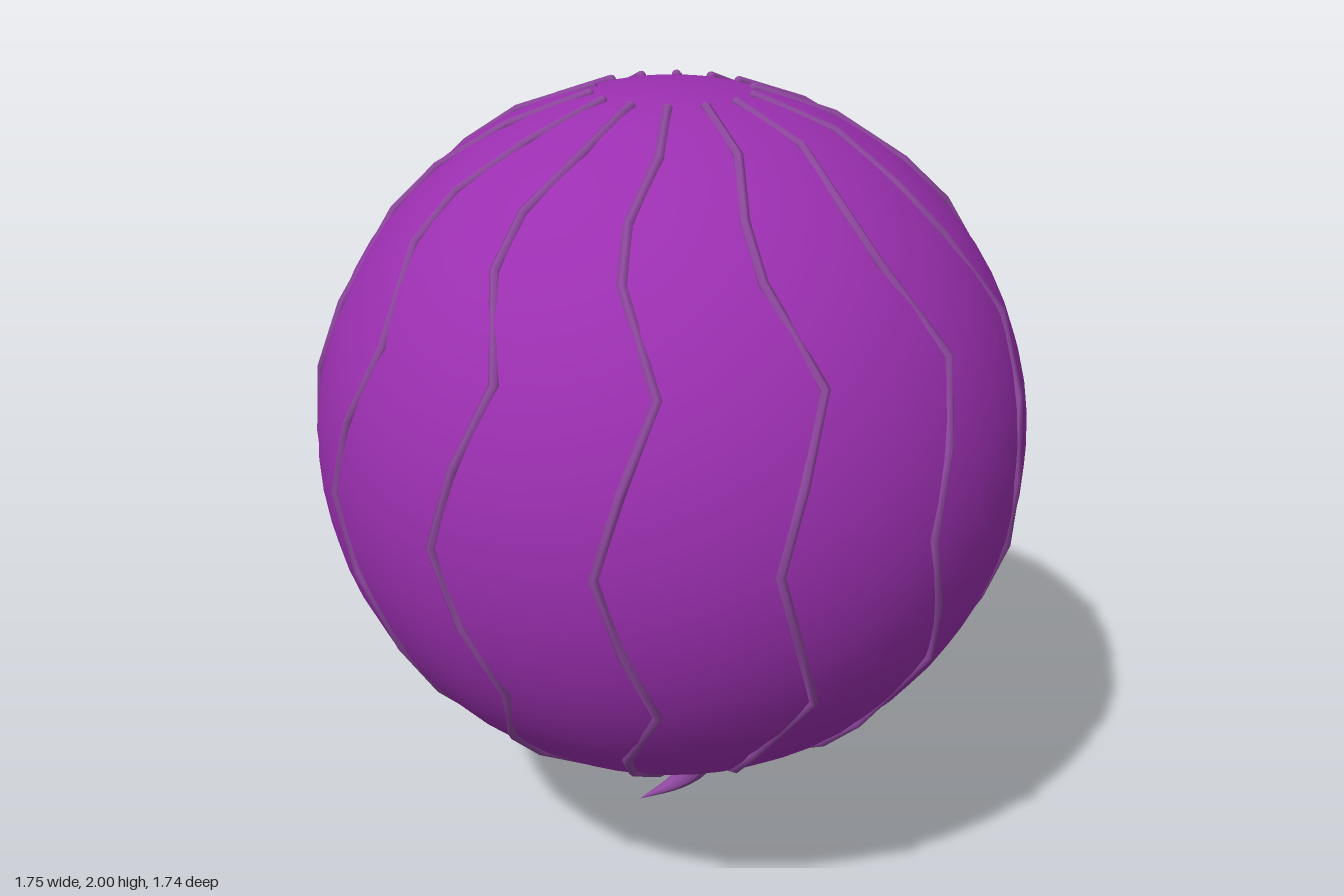
import * as THREE from 'three';
import { mergeGeometries } from 'three/addons/utils/BufferGeometryUtils.js';

const R = 0.866, HALF_HEIGHT = 0.853, CENTER_Y = 1.147;
const VEINS = 14, VEIN_RADIUS = 0.012;
// Polar angle and sideways swing of a vein from its top to the equator
const VEIN_HALF = [
  [0.225, 0.06], [0.46, 0.04], [0.68, -0.055], [0.85, -0.045],
  [1.126, 0.075], [1.35, -0.01], [Math.PI / 2, -0.075],
];
// The lower half mirrors the upper half
const VEIN_PATH = [...VEIN_HALF,
  ...VEIN_HALF.slice(0, -1).reverse().map(([polar, swing]) => [Math.PI - polar, swing])];
const VEIN_STEPS = VEIN_PATH.length - 1;

// Wavy meridian that hugs the bulb
class VeinCurve extends THREE.Curve {
  getPoint(t, target = new THREE.Vector3()) {
    const s = t * VEIN_STEPS;
    const i = Math.min(Math.floor(s), VEIN_STEPS - 1);
    const polar = THREE.MathUtils.lerp(VEIN_PATH[i][0], VEIN_PATH[i + 1][0], s - i);
    const swing = THREE.MathUtils.lerp(VEIN_PATH[i][1], VEIN_PATH[i + 1][1], s - i);
    const around = Math.PI / VEINS + swing;
    const r = R * Math.sin(polar);
    return target.set(r * Math.sin(around), HALF_HEIGHT * Math.cos(polar), r * Math.cos(around));
  }
  getPointAt(t, target) { return this.getPoint(t, target); }
  getTangentAt(t, target) { return this.getTangent(t, target); }
}

// Tube whose rings shrink or grow by a radius rule
function taperedTube(curve, steps, sides, radiusAt) {
  const geometry = new THREE.TubeGeometry(curve, steps, 1, sides);
  const pos = geometry.attributes.position;
  const v = new THREE.Vector3();
  for (let i = 0; i <= steps; i++) {
    const center = curve.getPointAt(i / steps);
    for (let j = 0; j <= sides; j++) {
      const k = i * (sides + 1) + j;
      v.fromBufferAttribute(pos, k).sub(center).multiplyScalar(radiusAt(i / steps)).add(center);
      pos.setXYZ(k, v.x, v.y, v.z);
    }
  }
  geometry.computeVertexNormals();
  return geometry;
}

export function createModel() {
  const group = new THREE.Group();
  const skin = new THREE.MeshStandardMaterial({ color: 0x9b2fb0 });
  skin.name = 'purple skin';
  const fibre = new THREE.MeshStandardMaterial({ color: 0x8f479f });
  fibre.name = 'dusty purple';

  // Round bulb, slightly flattened
  const bulb = new THREE.Mesh(new THREE.SphereGeometry(R, 48, 32), skin);
  bulb.name = 'bulb';
  bulb.scale.y = HALF_HEIGHT / R;
  bulb.position.y = CENTER_Y;
  group.add(bulb);

  // Raised veins with closed ends
  const curve = new VeinCurve();
  const veinParts = [new THREE.TubeGeometry(curve, VEIN_STEPS, VEIN_RADIUS, 6)];
  for (const t of [0, 1]) {
    const p = curve.getPoint(t);
    veinParts.push(new THREE.SphereGeometry(VEIN_RADIUS, 8, 6).translate(p.x, p.y, p.z));
  }
  const veinGeometry = mergeGeometries(veinParts);
  const veins = new THREE.Group();
  veins.name = 'veins';
  veins.position.y = CENTER_Y;
  for (let i = 0; i < VEINS; i++) {
    const vein = new THREE.Mesh(veinGeometry, fibre);
    vein.name = `vein${i + 1}`;
    vein.rotation.y = (i / VEINS) * Math.PI * 2;
    veins.add(vein);
  }
  group.add(veins);

  // Curled root tapering to a point
  const path = new THREE.CatmullRomCurve3([
    new THREE.Vector3(0, 0.36, 0),
    new THREE.Vector3(0.03, 0.28, -0.026),
    new THREE.Vector3(0.07, 0.19, -0.056),
    new THREE.Vector3(0.08, 0.11, -0.084),
    new THREE.Vector3(0.03, 0.052, -0.09),
    new THREE.Vector3(-0.08, 0.001, -0.085),
  ]);
  const root = new THREE.Mesh(taperedTube(path, 20, 16, t => 0.096 * (1 - t) + 0.0005), fibre);
  root.name = 'root';
  group.add(root);

  return group;
}
